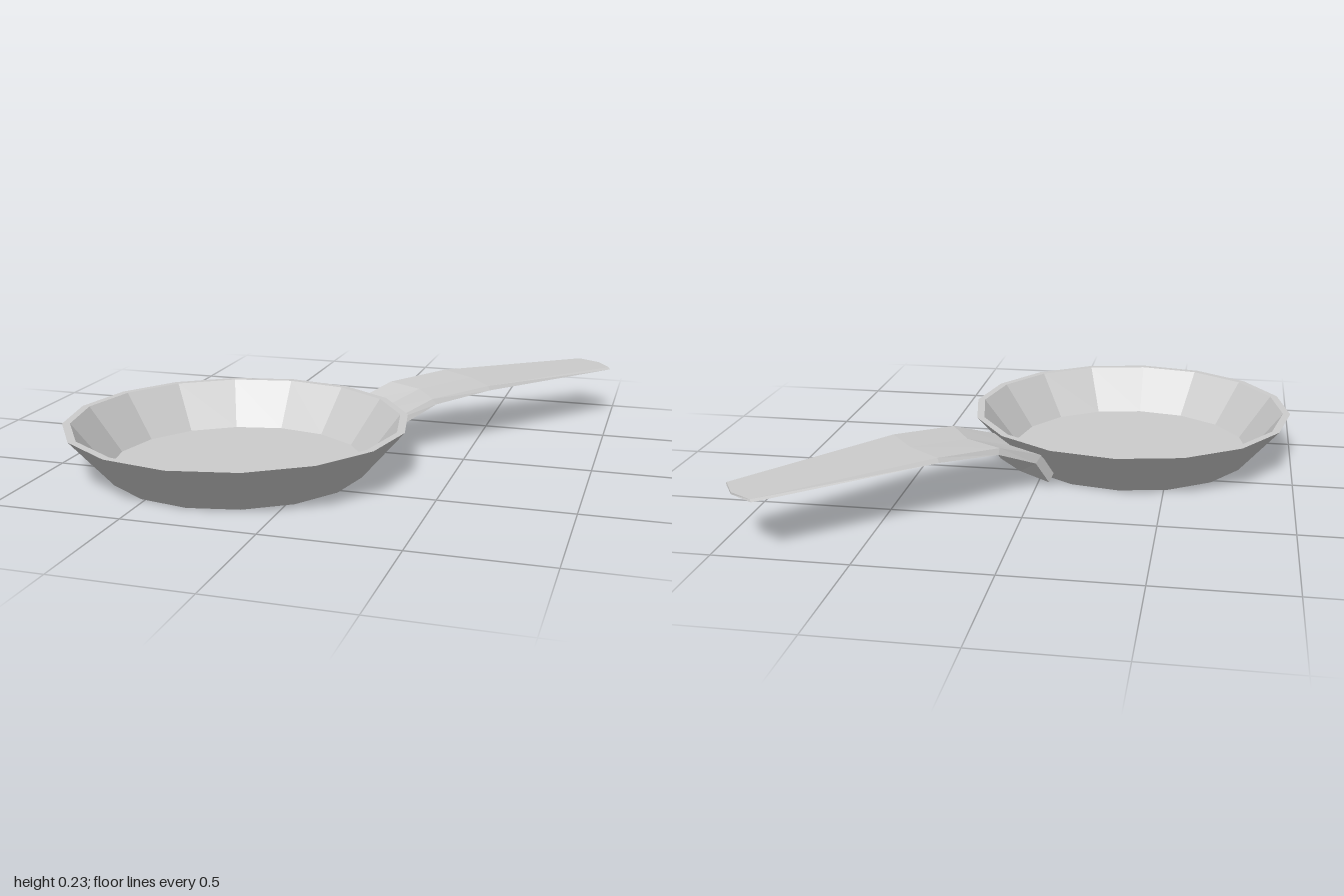
import * as THREE from 'three';

const material = new THREE.MeshStandardMaterial({ color: 0xcccccc, flatShading: true });

// 16-sided dish with sloping walls and a thin flat rim
function createPan() {
  const profile = [[0, 0], [0.5, 0], [0.665, 0.19], [0.635, 0.19], [0.5, 0.013], [0, 0.013]]
    .map(([r, y]) => new THREE.Vector2(r, y));
  const pan = new THREE.Mesh(new THREE.LatheGeometry(profile, 16), material);
  pan.name = 'pan';
  pan.position.set(-0.325, 0, 0.333);
  return pan;
}

// Bent plate swept through six-point sections, set diagonally to the pan
function createHandle() {
  // t, y of the top; t, y of the underside; centre bulge along t; half width; sideways shift
  const rows = [
    [0.06, 0.05, 0.09, 0.022, 0.02, 0.16, 0],
    [0.12, 0.14, 0.155, 0.115, 0.03, 0.162, 0],
    [0.318, 0.21, 0.33, 0.188, 0.04, 0.165, 0],
    [0.594, 0.23, 0.594, 0.213, 0.02, 0.165, -0.005],
    [1.298, 0.215, 1.298, 0.207, 0.026, 0.101, -0.017],
  ];
  const positions = [];
  const index = [];
  const point = (t, s, y) => positions.push((t + s) * Math.SQRT1_2 + 0.005, y, (s - t) * Math.SQRT1_2 + 0.005);

  rows.forEach(([tTop, yTop, tLow, yLow, bulge, half, shift]) => {
    const wide = half + 0.01;
    for (const k of [-1, 0, 1]) point(tTop + (k ? 0 : bulge), shift + k * half, yTop);
    for (const k of [1, 0, -1]) point(tLow + (k ? 0 : bulge), shift + k * wide, yLow);
  });

  // Skin between neighbouring sections
  for (let i = 0; i < rows.length - 1; i++) {
    for (let j = 0; j < 6; j++) {
      const a = i * 6 + j;
      const b = i * 6 + (j + 1) % 6;
      index.push(a, b, b + 6, a, b + 6, a + 6);
    }
  }

  // End caps
  const cap = [0, 5, 4, 0, 4, 1, 1, 4, 3, 1, 3, 2];
  const last = (rows.length - 1) * 6;
  index.push(...cap, ...cap.map((v) => v + last).reverse());

  const geometry = new THREE.BufferGeometry();
  geometry.setAttribute('position', new THREE.Float32BufferAttribute(positions, 3));
  geometry.setIndex(index);
  const flat = geometry.toNonIndexed();
  flat.computeVertexNormals();
  const handle = new THREE.Mesh(flat, material);
  handle.name = 'handle';
  return handle;
}

export function createModel() {
  const model = new THREE.Group();
  model.name = 'fryingPan';
  model.add(createPan(), createHandle());
  return model;
}
